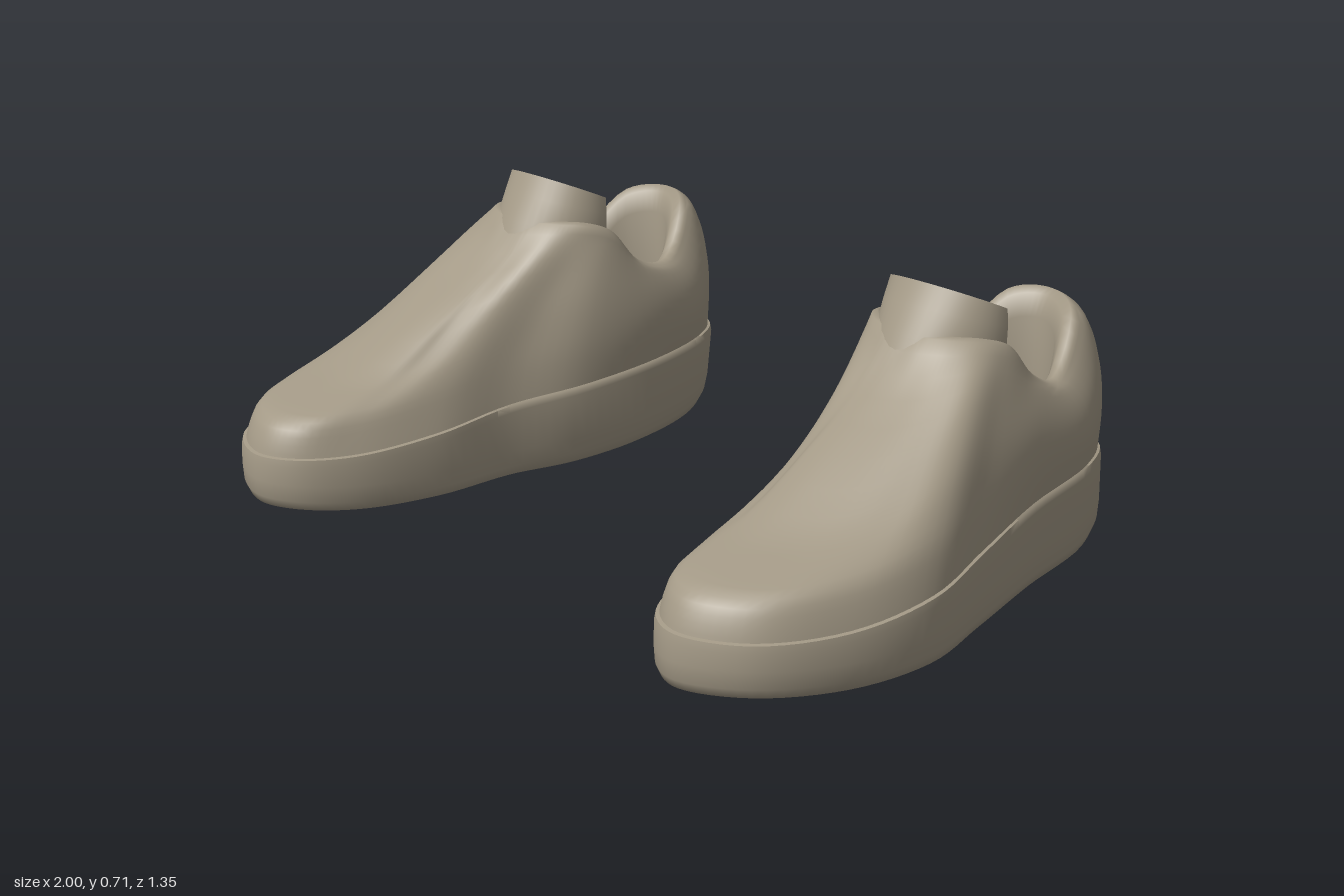
import * as THREE from 'three';
import { toCreasedNormals } from 'three/addons/utils/BufferGeometryUtils.js';

const V = (x, y, z) => new THREE.Vector3(x, y, z);
const { clamp, lerp, smoothstep } = THREE.MathUtils;
const SEGMENTS = 102;
const LEVELS = 18;

// sole outline [x, z] of the left shoe: toe, outer side, heel, inner side
const OUTLINE = [
  [0.72, 0.676], [0.87, 0.605], [0.97, 0.42], [1.0, 0.2], [0.945, -0.02], [0.88, -0.27],
  [0.845, -0.5], [0.76, -0.64], [0.64, -0.676], [0.52, -0.64], [0.44, -0.53], [0.41, -0.35],
  [0.43, -0.13], [0.485, 0.08], [0.492, 0.3], [0.54, 0.51], [0.62, 0.635],
];
// collar edge [x, y, z], one point for each outline point
const COLLAR = [
  [0.65, 0.6, -0.08], [0.70, 0.605, -0.085], [0.755, 0.605, -0.11], [0.8, 0.6, -0.16],
  [0.82, 0.575, -0.23], [0.825, 0.495, -0.31], [0.81, 0.46, -0.41], [0.745, 0.575, -0.55],
  [0.635, 0.595, -0.6], [0.535, 0.58, -0.56], [0.465, 0.465, -0.44], [0.445, 0.485, -0.32],
  [0.452, 0.575, -0.23], [0.475, 0.6, -0.17], [0.52, 0.605, -0.12], [0.58, 0.605, -0.09],
  [0.62, 0.6, -0.08],
];
// rise of the upper: share of the way to the collar, share of the height
const profile = (points) => new THREE.SplineCurve(points.map(([s, h]) => new THREE.Vector2(s, h)));
const TOE = profile([[0, 0], [0.02, 0.1], [0.065, 0.19], [0.2, 0.25], [0.37, 0.33], [0.62, 0.55], [0.88, 0.79], [1, 1]]);
const SIDE = profile([[0, 0], [0.06, 0.12], [0.14, 0.24], [0.27, 0.38], [0.42, 0.53], [0.6, 0.69], [0.8, 0.86], [1, 1]]);
const HEEL = profile([[0, 0], [0.04, 0.15], [0.08, 0.32], [0.14, 0.5], [0.25, 0.68], [0.42, 0.83], [0.68, 0.95], [1, 1]]);

const spine = (z) => lerp(0.64, 0.73, smoothstep(z, -0.4, 0.4));
const soleTop = (z) => lerp(0.155, 0.25, clamp((0.45 - z) / 0.95, 0, 1));
const soleBottom = (x, z) =>
  0.05 * Math.pow(clamp((-0.1 - z) / 0.57, 0, 1), 1.6) +
  0.012 * smoothstep(z, 0.4, 0.67) + 0.02 * clamp((x - 0.45) / 0.5, 0, 1);

// closed smooth ring through the station points
const ring = (points) => {
  const curve = new THREE.CatmullRomCurve3(points, true, 'centripetal');
  return Array.from({ length: SEGMENTS + 1 }, (_, i) => curve.getPoint((i % SEGMENTS) / SEGMENTS));
};
const hub = (x, y, z) => Array.from({ length: SEGMENTS + 1 }, () => V(x, y, z));

// skin a list of equal rings; side -1 mirrors the result
function loft(rings, side, crease) {
  const n = rings[0].length;
  const pos = [], index = [];
  rings.forEach((r) => r.forEach((p) => pos.push(p.x * side, p.y, p.z)));
  const tri = (a, b, c) => (side > 0 ? index.push(a, b, c) : index.push(a, c, b));
  for (let k = 0; k < rings.length - 1; k++) {
    for (let j = 0; j < n - 1; j++) {
      const a = k * n + j, b = a + 1, c = b + n, d = a + n;
      if (rings[k][j].distanceTo(rings[k][j + 1]) > 1e-6) tri(a, b, c);
      if (rings[k + 1][j].distanceTo(rings[k + 1][j + 1]) > 1e-6) tri(a, c, d);
    }
  }
  const g = new THREE.BufferGeometry();
  g.setAttribute('position', new THREE.Float32BufferAttribute(pos, 3));
  g.setIndex(index);
  return toCreasedNormals(g, crease);
}

// outline scaled about the spine, with a height rule; tuck draws in the inner heel
const outlineRing = (sx, sz, height, tuck = 0) => OUTLINE.map(([x0, z0]) => {
  const inner = smoothstep(0.64 - x0, 0, 0.15) * smoothstep(-z0, -0.1, 0.2);
  const x = spine(z0) + (x0 - spine(z0)) * sx + tuck * inner;
  return V(x, height(x0, z0), z0 * sz);
});

function soleRings() {
  const under = (lift) => (x, z) => soleBottom(x, z) + lift;
  const top = (drop) => (x, z) => soleTop(z) - drop;
  return [
    hub(0.67, 0.008, 0),
    ring(outlineRing(0.5, 0.6, under(0))),
    ring(outlineRing(0.87, 0.93, under(0), 0.015)),
    ring(outlineRing(0.96, 0.98, under(0.008), 0.025)),
    ring(outlineRing(0.988, 0.996, under(0.03), 0.022)),
    ring(outlineRing(1, 1, under(0.07), 0.015)),
    ring(outlineRing(1, 0.998, top(0.02))),
    ring(outlineRing(0.99, 0.993, top(0.003))),
    ring(outlineRing(0.93, 0.96, top(-0.002))),
  ];
}

function upperRings() {
  const base = outlineRing(0.967, 0.982, (x, z) => soleTop(z) - 0.008);
  const rings = Array.from({ length: LEVELS + 1 }, (_, k) => {
    const [t, m, e] = [TOE, SIDE, HEEL].map((c) => c.getPoint(k / LEVELS));
    return ring(base.map((b, i) => {
      const [cx, cy, cz] = COLLAR[i];
      const heel = smoothstep(-b.z, -0.05, 0.35);
      const p = m.clone().lerp(t, smoothstep(b.z, 0.1, 0.66)).lerp(e, heel);
      const wave = Math.sin(Math.PI * clamp(p.y, 0, 1));
      // fuller ankle, slimmer inner instep
      const bulge = 0.018 * wave * heel * clamp((b.x - 0.64) / 0.15, -1, 1);
      const slim = 0.035 * wave * smoothstep(b.z, -0.05, 0.2) * smoothstep(0.64 - b.x, 0, 0.12);
      return V(lerp(b.x, cx, p.x) + bulge + slim, lerp(b.y, cy, p.y), lerp(b.z, cz, p.x));
    }));
  });
  // padded collar rolling over into the lining, narrowing at the heel, down to the insole
  const lining = (scale, narrow, height) => ring(COLLAR.map(([x, y, z]) => {
    const taper = 1 - narrow * smoothstep(-z, 0.22, 0.55);
    return V(0.64 + (x - 0.64) * scale * taper, height(y), -0.35 + (z + 0.35) * scale);
  }));
  rings.push(
    lining(0.95, 0.04, (y) => y + 0.006),
    lining(0.88, 0.1, (y) => y - 0.008),
    lining(0.82, 0.15, (y) => y - 0.06),
    lining(0.84, 0.1, (y) => lerp(y, 0.22, 0.6)),
    lining(0.82, 0.08, () => 0.22),
    hub(0.64, 0.22, -0.35),
  );
  return rings;
}

// curved tongue continuing the instep and wrapping the front of the opening
function tongueRings() {
  const arc = (rx, zFront, zSide, yFront, ySide) => Array.from({ length: 25 }, (_, i) => {
    const a = lerp(-1.6, 1.6, i / 24), c = Math.cos(a);
    return V(0.642 + rx * Math.sin(a), lerp(ySide, yFront, c), lerp(zSide, zFront, c));
  });
  return [
    arc(0.15, -0.025, -0.225, 0.5, 0.48),
    arc(0.158, -0.07, -0.235, 0.6, 0.57),
    arc(0.158, -0.105, -0.238, 0.66, 0.62),
    arc(0.154, -0.132, -0.24, 0.71, 0.66),
    arc(0.14, -0.15, -0.24, 0.7, 0.652),
    arc(0.137, -0.148, -0.24, 0.5, 0.48),
    arc(0.13, -0.14, -0.24, 0.32, 0.36),
  ];
}

export function createModel() {
  const fabric = new THREE.MeshStandardMaterial({ color: 0xa39986, side: THREE.DoubleSide });
  fabric.name = 'taupe';
  const model = new THREE.Group();
  model.name = 'pairOfShoes';

  for (const side of [1, -1]) {
    const shoe = new THREE.Group();
    shoe.name = side > 0 ? 'leftShoe' : 'rightShoe';
    const add = (name, rings, crease) => {
      const mesh = new THREE.Mesh(loft(rings, side, crease), fabric);
      mesh.name = name;
      shoe.add(mesh);
    };
    add('sole', soleRings(), 1.1);
    add('upper', upperRings(), 1.3);
    add('tongue', tongueRings(), 0.9);
    model.add(shoe);
  }
  return model;
}
